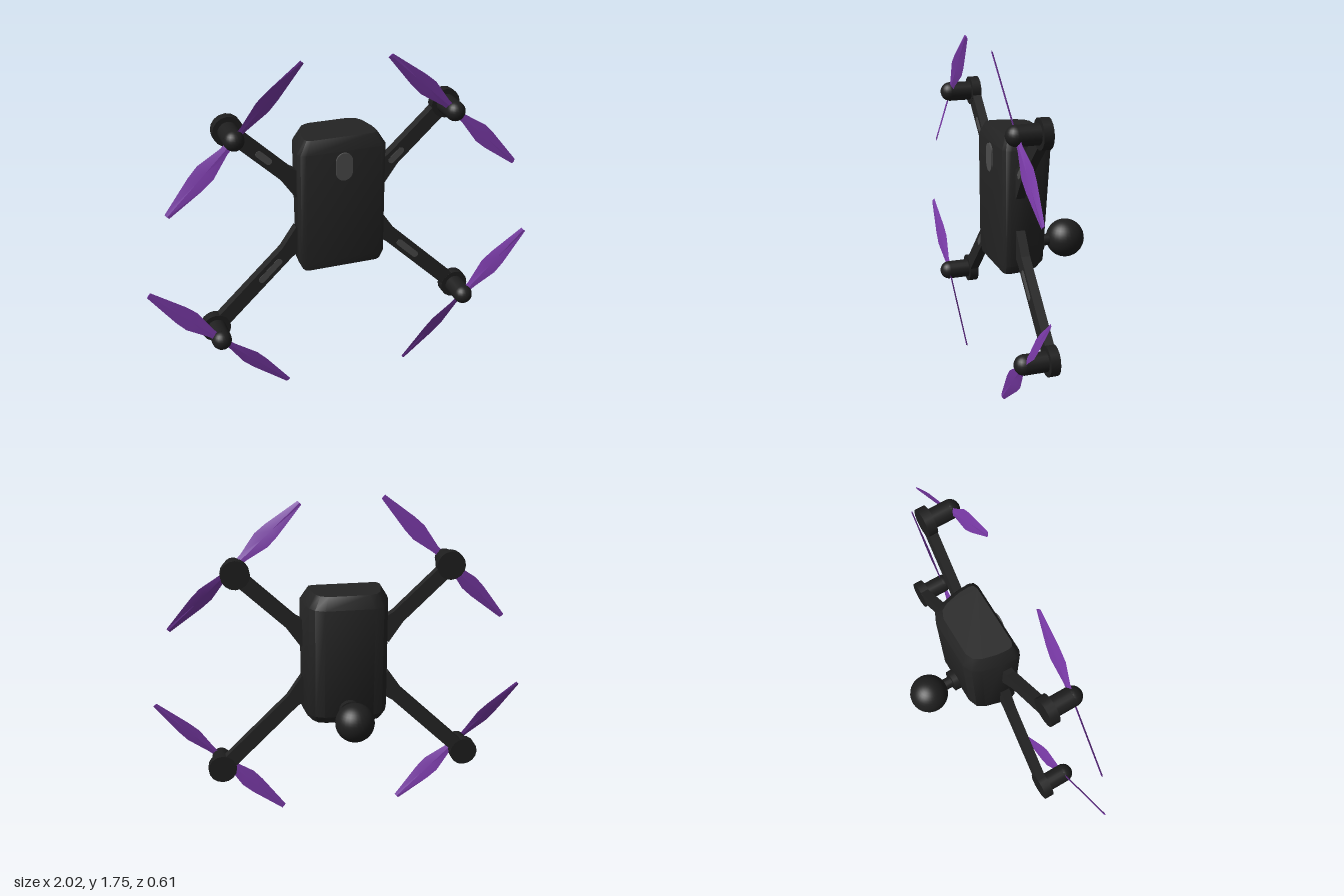
import * as THREE from 'three';
import { toCreasedNormals } from 'three/addons/utils/BufferGeometryUtils.js';

const mat = (name, color) => {
  const m = new THREE.MeshStandardMaterial({ color });
  m.name = name;
  return m;
};

// Closed skin through rings that run counter-clockwise about the loft direction
function loft(rings, crease) {
  const n = rings[0].length, idx = [], last = (rings.length - 1) * n;
  for (let i = 0; i < rings.length - 1; i++) {
    for (let j = 0; j < n; j++) {
      const a = i * n + j, b = i * n + (j + 1) % n;
      idx.push(a, b, b + n, a, b + n, a + n);
    }
  }
  for (let j = 1; j < n - 1; j++) {
    idx.push(0, j + 1, j, last, last + j, last + j + 1);
  }
  const g = new THREE.BufferGeometry();
  g.setAttribute('position', new THREE.Float32BufferAttribute(rings.flat(2), 3));
  g.setIndex(idx);
  return toCreasedNormals(g, crease);
}

// Thin capsule-shaped plate in the xy plane, long along x
function capsulePlate(length, width, depth) {
  const s = new THREE.Shape(), r = width / 2, h = length / 2 - r;
  s.absarc(h, 0, r, -Math.PI / 2, Math.PI / 2);
  s.absarc(-h, 0, r, Math.PI / 2, Math.PI * 1.5);
  return new THREE.ExtrudeGeometry(s, { depth, bevelEnabled: false, curveSegments: 8 });
}

// Body: tapering rounded cross-sections stacked upwards
function bodyGeometry() {
  const half = [[0.85, 0], [0.96, 0.04], [1, 0.13], [0.98, 0.4], [0.88, 0.76], [0.77, 0.92], [0.56, 1]];
  const outline = [...half, ...half.map(([u, v]) => [-u, v]).reverse()];
  const levels = [ // y, half width, front z, back z
    [0.615, 0.205, 0.195, 0.0],
    [0.66, 0.227, 0.2, -0.035],
    [1.25, 0.227, 0.2, -0.075],
    [1.315, 0.187, 0.175, -0.045],
  ];
  return loft(levels.map(([y, w, f, b]) => outline.map(([u, v]) => [u * w, y, f + (b - f) * v])), 0.6);
}

// Blade: pitched thin lens sections running out along x
function bladeGeometry(pitch) {
  const stations = [[0.0, 0.016], [0.07, 0.02], [0.2, 0.046], [0.27, 0.042], [0.472, 0.013]];
  return loft(stations.map(([r, w]) => {
    const t = 0.004;
    return [[w, 0], [0, t], [-w, 0], [0, -t]].map(([y, z]) => [r, y, z + y * pitch]);
  }), 0.2);
}

// Arm: flat bar flaring where it enters the body
function armGeometry(length) {
  const s = new THREE.Shape();
  const w = 0.038, k = length - 0.13;
  s.moveTo(0, -w);
  s.lineTo(k, -w);
  s.lineTo(length, -0.065);
  s.lineTo(length, 0.065);
  s.lineTo(k, w);
  s.lineTo(0, w);
  return new THREE.ExtrudeGeometry(s, { depth: 0.046, bevelEnabled: false });
}

export function createModel() {
  const model = new THREE.Group();
  model.name = 'quadcopter';
  const shell = mat('charcoal shell', 0x242424);
  const dark = mat('black motor', 0x1e1e1e);
  const purple = mat('purple blade', 0x7a3aa8);
  const inset = mat('dark grey inset', 0x4c4c4c);
  const grey = mat('grey panel', 0x808080);

  const add = (parent, name, geometry, material, x = 0, y = 0, z = 0) => {
    const m = new THREE.Mesh(geometry, material);
    m.name = name;
    m.position.set(x, y, z);
    parent.add(m);
    return m;
  };
  const disc = (r, depth, sides) => new THREE.CylinderGeometry(r, r, depth, sides).rotateX(Math.PI / 2);

  add(model, 'body', bodyGeometry(), shell);
  add(model, 'frontButton', capsulePlate(0.145, 0.085, 0.009).rotateZ(Math.PI / 2), inset, 0, 1.17, 0.2);
  add(model, 'bottomPanel', capsulePlate(0.33, 0.09, 0.006).rotateX(Math.PI / 2), grey, 0, 0.615, 0.1);

  // Camera ball on its mount at the back
  const camera = new THREE.Group();
  camera.name = 'camera';
  camera.position.y = 0.7;
  model.add(camera);
  add(camera, 'cameraMount', disc(0.055, 0.05, 20), dark, 0, 0, -0.047);
  add(camera, 'cameraNeck', disc(0.03, 0.1, 16), dark, 0, 0, -0.1);
  add(camera, 'cameraBall', new THREE.SphereGeometry(0.1, 28, 20), dark, 0, 0, -0.205);

  // Rotor arms: motor position, body joint, blade angle in degrees, slot distance and length
  const rotors = [
    { name: 'upperRight', m: [-0.554, 1.405], j: [-0.2, 1.07], angle: 45.5, slot: [0.23, 0.1] },
    { name: 'upperLeft', m: [0.554, 1.405], j: [0.2, 1.07], angle: -42.8, slot: [0.355, 0.1] },
    { name: 'lowerRight', m: [-0.661, 0.34], j: [-0.2, 0.785], angle: -43.8, slot: [0.405, 0.16] },
    { name: 'lowerLeft', m: [0.661, 0.34], j: [0.2, 0.785], angle: 44.7, slot: [0.395, 0.16] },
  ];
  for (const { name, m, j, angle, slot } of rotors) {
    const rotor = new THREE.Group();
    rotor.name = name + 'Rotor';
    rotor.position.set(m[0], m[1], 0);
    model.add(rotor);

    const dx = j[0] - m[0], dy = j[1] - m[1];
    const arm = new THREE.Group();
    arm.name = 'arm';
    arm.rotation.z = Math.atan2(dy, dx);
    rotor.add(arm);
    add(arm, 'armBar', armGeometry(Math.hypot(dx, dy) + 0.02), shell, 0, 0, 0.097);
    add(arm, 'armSlot', capsulePlate(slot[1], 0.034, 0.003), inset, slot[0], 0, 0.142);

    add(rotor, 'motorBase', disc(0.075, 0.048, 16), dark, 0, 0, 0.12);
    add(rotor, 'motor', disc(0.05, 0.11, 20), dark, 0, 0, 0.195);
    add(rotor, 'motorCap', new THREE.SphereGeometry(0.05, 20, 14), dark, 0, 0, 0.252);

    const propeller = new THREE.Group();
    propeller.name = 'propeller';
    propeller.position.z = 0.25;
    propeller.rotation.z = THREE.MathUtils.degToRad(angle);
    rotor.add(propeller);
    const blade = bladeGeometry(m[0] < 0 ? 0.36 : -0.36);
    for (const turn of [0, Math.PI]) add(propeller, 'blade', blade, purple).rotation.z = turn;
  }

  for (const part of model.children) part.position.x += 0.007;
  return model;
}
